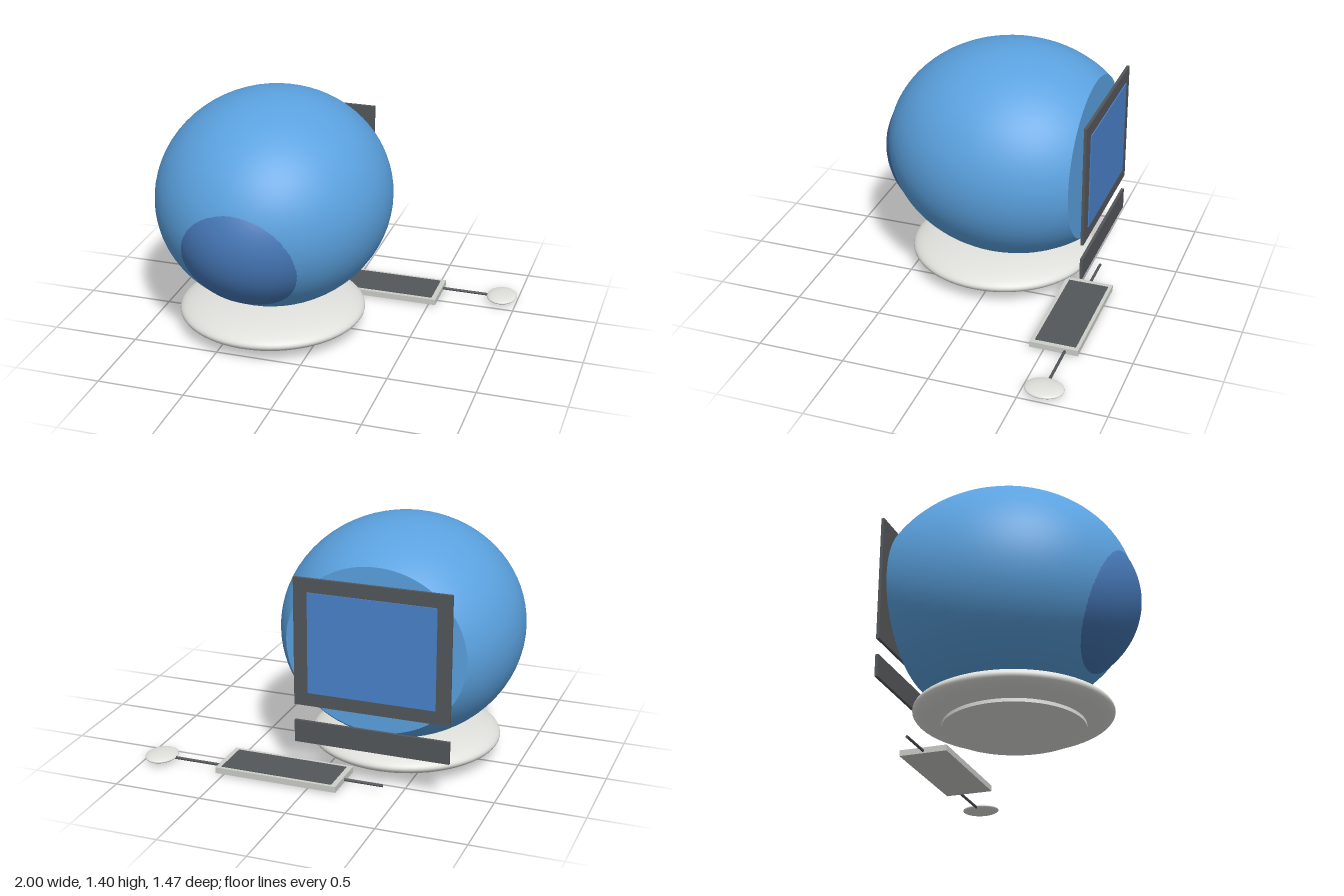
import * as THREE from 'three';

export function createModel() {
  const model = new THREE.Group();
  const mat = (name, color, side = THREE.FrontSide) => {
    const m = new THREE.MeshStandardMaterial({ color, side });
    m.name = name;
    return m;
  };
  const bodyBlue = mat('bodyBlue', 0x5ba2e0);
  const noseBlue = mat('noseBlue', 0x4678b8);
  const screenBlue = mat('screenBlue', 0x4a82cc);
  const charcoal = mat('charcoal', 0x54575a);
  const paleGrey = mat('paleGrey', 0xcccec9);
  const offWhite = mat('offWhite', 0xe0e0dc);

  const add = (name, geometry, material, x, y, z) => {
    const mesh = new THREE.Mesh(geometry, material);
    mesh.name = name;
    mesh.position.set(x, y, z);
    model.add(mesh);
    return mesh;
  };
  // Box given by its lower and upper corners
  const box = (name, material, a, b) => add(name,
    new THREE.BoxGeometry(b[0] - a[0], b[1] - a[1], b[2] - a[2]), material,
    (a[0] + b[0]) / 2, (a[1] + b[1]) / 2, (a[2] + b[2]) / 2);
  const ellipsoid = (name, material, r, c) => add(name,
    new THREE.SphereGeometry(1, 64, 40).scale(...r), material, ...c);

  const X = -0.325;

  // Round shell, sliced flat at the back
  const rx = 0.675, ry = 0.62, rz = 0.735, cz = -0.033, cut = -0.515;
  const theta = Math.acos((cut - cz) / rz);
  add('shell', new THREE.SphereGeometry(1, 72, 48, 0, Math.PI * 2, 0, theta)
    .rotateX(Math.PI / 2).scale(rx, ry, rz), bodyBlue, X, 0.78, cz);
  const k = Math.sin(theta);
  add('backFace', new THREE.CircleGeometry(1, 72).rotateY(Math.PI)
    .scale(rx * k, ry * k, 1), bodyBlue, X, 0.78, cut);

  // Darker bulge at the front
  ellipsoid('frontBulge', noseBlue, [0.487, 0.465, 0.515], [X, 0.725, 0.22]);

  // Cushion-like foot with a thin disc under it
  ellipsoid('foot', offWhite, [0.54, 0.104, 0.542], [X, 0.104, 0.028]);
  add('footDisc', new THREE.CylinderGeometry(0.388, 0.388, 0.024, 64), offWhite, X, 0.024, 0.03);

  // Display floating behind the cut face
  box('screenFrame', charcoal, [-0.77, 0.445, -0.59], [0.11, 1.17, -0.573]);
  box('screen', screenBlue, [-0.69, 0.522, -0.596], [0.03, 1.093, -0.59]);
  box('lowerPanel', charcoal, [-0.77, 0.225, -0.59], [0.11, 0.352, -0.573]);

  // Keyboard with its dark key area
  box('keyboard', paleGrey, [-0.167, 0.008, -0.7], [0.544, 0.042, -0.42]);
  box('keys', charcoal, [-0.136, 0.041, -0.68], [0.515, 0.045, -0.444]);

  // Cables on either side of the keyboard
  const cable = (name, x0, x1, z) => add(name,
    new THREE.CylinderGeometry(0.008, 0.008, x1 - x0, 12).rotateZ(Math.PI / 2),
    charcoal, (x0 + x1) / 2, 0.024, z);
  cable('mouseCable', 0.54, 0.84, -0.625);
  cable('keyboardCable', -0.39, -0.16, -0.56);

  ellipsoid('mouse', offWhite, [0.09, 0.021, 0.11], [0.91, 0.028, -0.625]);

  return model;
}
